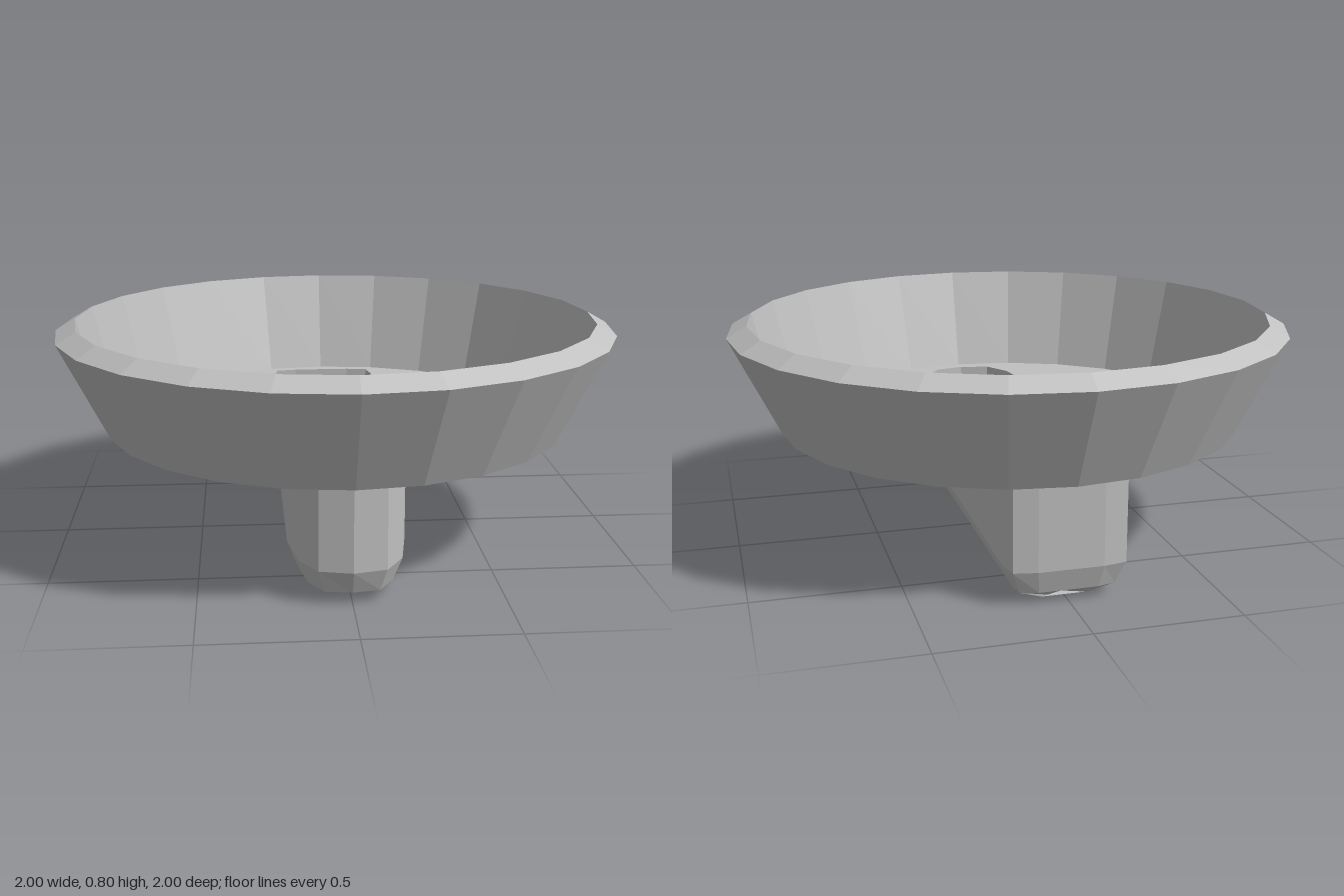
import * as THREE from 'three';

const SIDES = 24;
const FLOOR_Y = 0.415;
const FLOOR_R = 0.83;

// Half outlines [x, z] of the keel, from the back centre round to the front centre
const KEEL_SIDE = [[0, -0.78], [0.11, -0.78], [0.19, -0.765], [0.205, -0.69], [0.2, 0.48], [0.17, 0.66], [0.11, 0.755], [0, 0.78]];
const KEEL_EDGE = [[0, -0.755], [0.1, -0.755], [0.16, -0.74], [0.17, -0.69], [0.17, 0.48], [0.14, 0.65], [0.09, 0.73], [0, 0.745]];
const KEEL_BASE = [[0, -0.67], [0.05, -0.69], [0.075, -0.7], [0.08, -0.65], [0.08, 0.48], [0.07, 0.54], [0.05, 0.59], [0, 0.62]];

// Complete a half outline by mirroring it across x = 0
function mirrored(half) {
  return [...half, ...half.slice(1, -1).reverse().map(([x, z]) => [-x, z])];
}

// Skin a stack of closed rings { y, points } with quads
function loft(rings) {
  const n = rings[0].points.length;
  const positions = rings.flatMap(({ y, points }) => points.flatMap(([x, z]) => [x, y, z]));
  const index = [];
  for (let r = 0; r < rings.length - 1; r++) {
    for (let i = 0; i < n; i++) {
      const a = r * n + i;
      const b = r * n + (i + 1) % n;
      index.push(a, b, a + n, b, b + n, a + n);
    }
  }
  const geometry = new THREE.BufferGeometry();
  geometry.setAttribute('position', new THREE.Float32BufferAttribute(positions, 3));
  geometry.setIndex(index);
  geometry.computeVertexNormals();
  return geometry;
}

export function createModel() {
  const model = new THREE.Group();
  model.name = 'slottedDish';
  const grey = new THREE.MeshStandardMaterial({ color: 0xc0c0c0, flatShading: true, side: THREE.DoubleSide });
  grey.name = 'light grey';

  const add = (name, geometry) => {
    const mesh = new THREE.Mesh(geometry, grey);
    mesh.name = name;
    model.add(mesh);
  };

  // Flared wall with a bevelled rim, tapering to a thin lower edge
  const profile = [[FLOOR_R, FLOOR_Y], [1, 0.76], [0.93, 0.8], [FLOOR_R, FLOOR_Y]];
  add('dishWall', new THREE.LatheGeometry(profile.map(([r, y]) => new THREE.Vector2(r, y)), SIDES));

  // Thin floor with the slot cut through it
  const rim = Array.from({ length: SIDES }, (_, i) => {
    const a = (i / SIDES) * Math.PI * 2;
    return new THREE.Vector2(FLOOR_R * Math.cos(a), FLOOR_R * Math.sin(a));
  });
  const floor = new THREE.Shape(rim);
  floor.holes.push(new THREE.Path(mirrored(KEEL_SIDE).map(([x, z]) => new THREE.Vector2(x, z))));
  add('dishFloor', new THREE.ShapeGeometry(floor).rotateX(Math.PI / 2).translate(0, FLOOR_Y, 0));

  // Hollow keel below the slot, rounded towards its base and closed along the centre line
  const base = mirrored(KEEL_BASE);
  add('hollowKeel', loft([
    { y: FLOOR_Y, points: mirrored(KEEL_SIDE) },
    { y: 0.12, points: mirrored(KEEL_SIDE) },
    { y: 0.04, points: mirrored(KEEL_EDGE) },
    { y: 0, points: base },
    { y: 0, points: base.map(([, z]) => [0, z]) },
  ]));

  return model;
}
